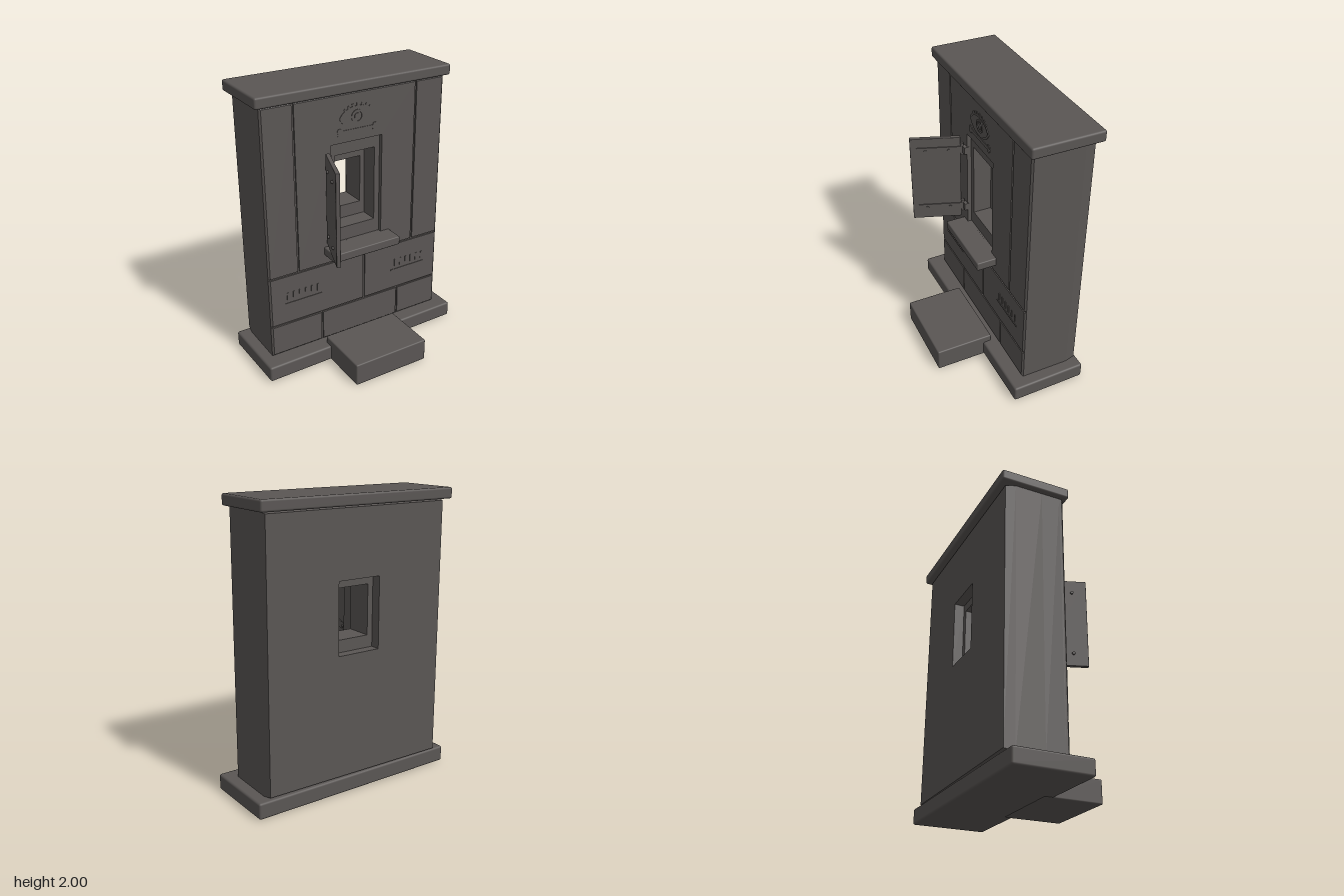
import * as THREE from 'three';
import { RoundedBoxGeometry } from 'three/addons/geometries/RoundedBoxGeometry.js';

export function createModel() {
  const root = new THREE.Group();
  const stone = new THREE.MeshStandardMaterial({ color: 0x5a5654 });
  stone.name = 'dark stone';

  function add(geo, name, x = 0, y = 0, z = 0, parent = root) {
    const m = new THREE.Mesh(geo, stone);
    m.name = name;
    m.position.set(x, y, z);
    parent.add(m);
    return m;
  }
  // box given by its limits
  function block(name, x0, x1, y0, y1, z0, z1, r = 0, parent = root) {
    const s = [x1 - x0, y1 - y0, z1 - z0];
    const geo = r ? new RoundedBoxGeometry(...s, 3, r) : new THREE.BoxGeometry(...s);
    return add(geo, name, (x0 + x1) / 2, (y0 + y1) / 2, (z0 + z1) / 2, parent);
  }
  function rect(P, [x0, x1, y0, y1]) {
    return new P().moveTo(x0, y0).lineTo(x1, y0).lineTo(x1, y1).lineTo(x0, y1).closePath();
  }
  // plate with an optional opening; the wall's outer rim is chamfered at depth zc
  const L = 0.695, B = 0.115, T = 1.925;
  function plate(name, outer, hole, z0, z1, zc) {
    const shape = rect(THREE.Shape, outer);
    if (hole) shape.holes.push(rect(THREE.Path, hole));
    const geo = new THREE.ExtrudeGeometry(shape, { depth: z1 - z0, bevelEnabled: false });
    geo.translate(0, 0, z0);
    const p = geo.attributes.position, c = 0.012;
    for (let i = 0; i < p.count; i++) {
      if (zc === undefined || Math.abs(p.getZ(i) - zc) > 0.001) continue;
      const x = p.getX(i), y = p.getY(i);
      if (Math.abs(x) > L - 0.001) p.setX(i, x - Math.sign(x) * c);
      if (y < B + 0.001) p.setY(i, y + c);
      if (y > T - 0.001) p.setY(i, y - c);
    }
    geo.computeVertexNormals();
    add(geo, name);
  }

  // wall core, in layers with stepped window reveals
  const all = [-L, L, B, T];
  const outerRecess = [-0.2, 0.195, 0.86, 1.59];
  const innerRecess = [-0.16, 0.155, 0.96, 1.5];
  plate('wallDoorRebate', all, outerRecess, -0.03, -0.012);
  plate('wallFrontReveal', all, innerRecess, -0.16, -0.03);
  plate('wallThroat', all, [-0.12, 0.12, 1.055, 1.4], -0.35, -0.16);
  plate('wallBackReveal', all, [-0.16, 0.16, 0.97, 1.46], -0.42, -0.35, -0.42);

  // facing stones with open joints between them
  const g = 0.007;
  const courses = [
    [B, 0.352, [-L, -0.293, 0.347, L]],
    [0.352, 0.728, [-L, 0.056, L]],
    [0.728, T, [-L, -0.469, 0.464, L]],
  ];
  courses.forEach(([y0, y1, xs], row) => {
    for (let i = 0; i < xs.length - 1; i++) {
      const x0 = xs[i] + (i ? g : 0), x1 = xs[i + 1] - (i < xs.length - 2 ? g : 0);
      const box = [x0, x1, row ? y0 + g : y0, row < 2 ? y1 - g : y1];
      plate('facingStone', box, row === 2 && i === 1 ? outerRecess : null, -0.012, 0, 0);
    }
  });

  // base, cap, step and sill
  block('capStone', -0.732, 0.732, 1.925, 2, -0.46, 0.025, 0.014);
  block('plinth', -0.778, 0.778, 0.005, 0.117, -0.427, 0.108, 0.015).rotation.y = 0.016;
  block('step', -0.29, 0.286, 0, 0.165, 0.042, 0.458, 0.01);
  block('windowSill', -0.265, 0.265, 0.8, 0.862, -0.02, 0.14, 0.008);

  // open shutter: local x runs from the hinge to the free edge
  const shutter = new THREE.Group();
  shutter.name = 'shutter';
  shutter.position.set(-0.245, 0, 0.03);
  shutter.rotation.y = -Math.atan2(0.322, -0.115);
  root.add(shutter);
  block('shutterPanel', 0, 0.342, 0.903, 1.555, -0.014, 0.014, 0.003, shutter);
  for (const y of [0.994, 1.46]) {
    block('hingeStrap', -0.005, 0.3, y - 0.026, y + 0.026, -0.02, -0.013, 0, shutter);
    for (const x of [0.08, 0.24]) {
      add(new THREE.CylinderGeometry(0.011, 0.011, 0.05, 12).rotateX(Math.PI / 2), 'strapBolt', x, y, 0, shutter);
    }
    block('hingePlate', -0.24, -0.196, y - 0.027, y + 0.027, -0.012, 0.022);
    add(new THREE.CylinderGeometry(0.012, 0.012, 0.09, 12), 'hingePin', -0.238, y, 0.022);
  }

  // shallow carved relief: eye
  const D = 0.004;
  function relief(shape, name, depth = D) {
    add(new THREE.ExtrudeGeometry(shape, { depth, bevelEnabled: false, curveSegments: 16 }), name);
  }
  const eyeCurve = (P, w, h, y = 1.755) => new P().moveTo(-w, y)
    .bezierCurveTo(-w * 0.7, y + h * 1.35, w * 0.7, y + h * 1.35, w, y)
    .bezierCurveTo(w * 0.7, y - h * 1.35, -w * 0.7, y - h * 1.35, -w, y);
  const lid = eyeCurve(THREE.Shape, 0.137, 0.072);
  lid.holes.push(eyeCurve(THREE.Path, 0.118, 0.058));
  relief(lid, 'eyeLid');
  const iris = new THREE.Shape().absarc(0, 1.755, 0.046, 0, Math.PI * 2);
  iris.holes.push(new THREE.Path().absarc(0, 1.755, 0.033, 0, Math.PI * 2, true));
  relief(iris, 'iris');
  relief(new THREE.Shape().absarc(0, 1.755, 0.022, 0, Math.PI * 2), 'pupil');
  for (let i = 0; i < 7; i++) {
    const a = (i - 3) * 0.3;
    const lash = add(new THREE.BoxGeometry(0.012, 0.026, D), 'eyelash',
      Math.sin(a) * 0.118, 1.755 + Math.cos(a) * 0.078, D / 2);
    lash.rotation.z = -a * 0.6;
  }

  // bone-shaped bar under the eye
  block('boneBar', -0.135, 0.135, 1.65, 1.674, 0, D);
  for (const sx of [-1, 1]) for (const sy of [-1, 1]) {
    relief(new THREE.Shape().absarc(sx * 0.136, 1.662 + sy * 0.012, 0.017, 0, Math.PI * 2), 'boneKnob', D * 0.9);
  }

  // plain notch ornaments with a line below
  for (const side of [-1, 1]) {
    block('ornamentLine', side * 0.438 - 0.148, side * 0.438 + 0.148, 0.504, 0.514, 0, D);
    for (let i = 0; i < 6; i++) {
      const x = side * (0.325 + i * 0.047);
      block('ornamentNotch', x - 0.006, x + 0.006, 0.538, 0.595, 0, D);
    }
  }
  return root;
}
